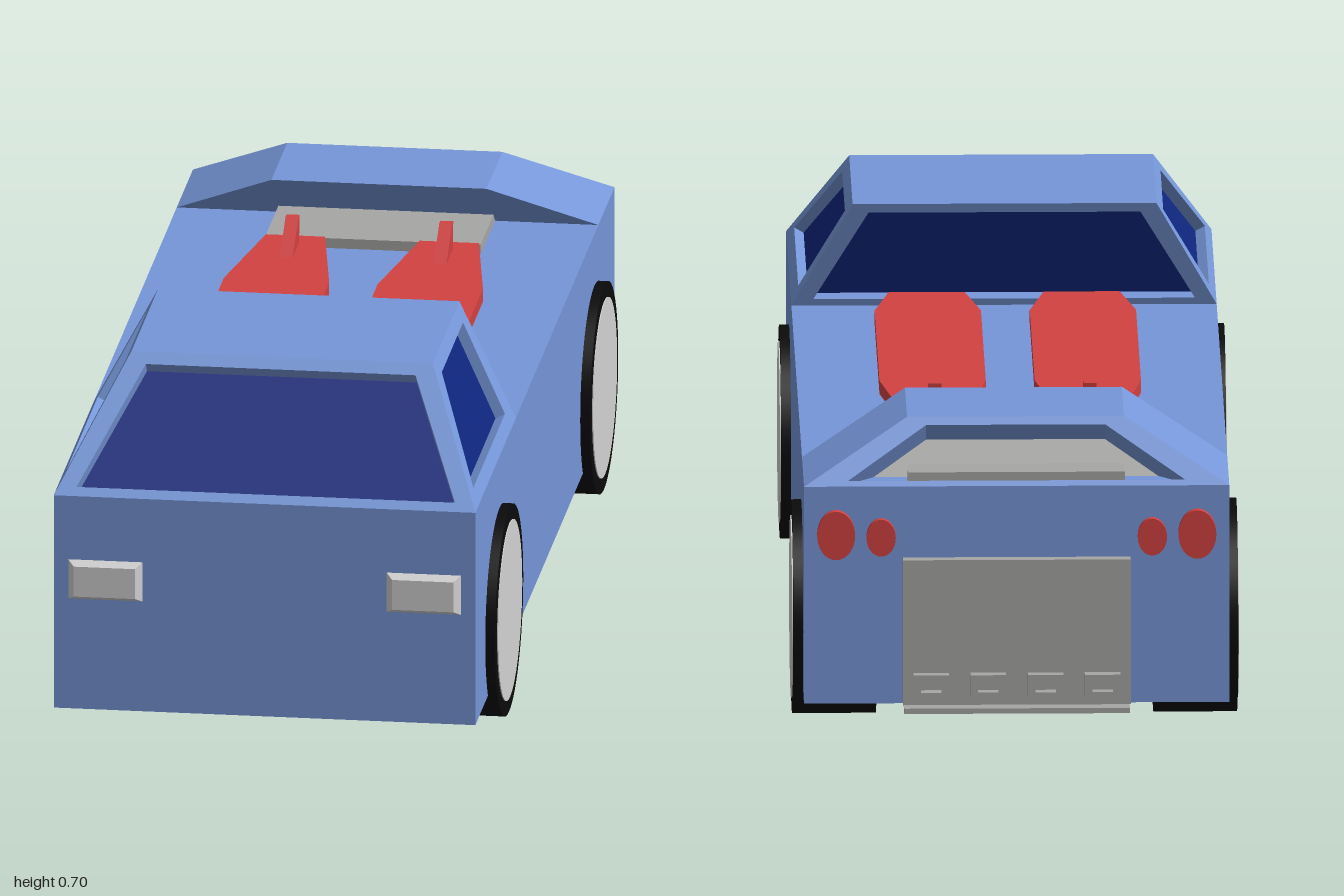
import * as THREE from 'three';

const flat = (name, color, side = THREE.FrontSide) => {
  const m = new THREE.MeshStandardMaterial({ color, side });
  m.name = name;
  return m;
};

// Flat faces from quads whose corners run counter-clockwise seen from outside
function quads(list) {
  const pos = [];
  for (const [a, b, c, d] of list) pos.push(...a, ...b, ...c, ...a, ...c, ...d);
  const g = new THREE.BufferGeometry();
  g.setAttribute('position', new THREE.Float32BufferAttribute(pos, 3));
  g.computeVertexNormals();
  return g;
}

const mirrorQuad = (q) => [1, 0, 3, 2].map((i) => [-q[i][0], q[i][1], q[i][2]]);
const mirrorUV = (uv) => [1, 0, 3, 2].map((i) => [1 - uv[i][0], uv[i][1]]);

// Panel with a sunken opening: outer = bl, br, tr, tl; uv = opening corners
function framed(outer, uv, depth) {
  const o = outer.map((p) => new THREE.Vector3(...p));
  const n = o[1].clone().sub(o[0]).cross(o[3].clone().sub(o[0])).normalize();
  const inner = uv.map(([u, v]) =>
    o[0].clone().lerp(o[1], u).lerp(o[3].clone().lerp(o[2], u), v));
  const deep = inner.map((p) => p.clone().addScaledVector(n, -depth).toArray());
  const inn = inner.map((p) => p.toArray());
  const frame = [];
  for (let i = 0; i < 4; i++) {
    const j = (i + 1) % 4;
    frame.push([outer[i], outer[j], inn[j], inn[i]], [inn[i], inn[j], deep[j], deep[i]]);
  }
  return { frame, pane: deep };
}

export function createModel() {
  const blue = flat('body blue', 0x7696d8);
  const glass = flat('window navy', 0x0e267c);
  const red = flat('red', 0xd24242);
  const grey = flat('trim grey', 0xa6a6a4);
  const silver = flat('light silver', 0xd2d2d2);
  const black = flat('tyre black', 0x0a0a0a);

  const model = new THREE.Group();
  const add = (name, geo, mat, x = 0, y = 0, z = 0) => {
    const m = new THREE.Mesh(geo, mat);
    m.name = name;
    m.position.set(x, y, z);
    model.add(m);
    return m;
  };
  const box = (name, mat, x0, x1, y0, y1, z0, z1) =>
    add(name, new THREE.BoxGeometry(x1 - x0, y1 - y0, z1 - z0), mat,
      (x0 + x1) / 2, (y0 + y1) / 2, (z0 + z1) / 2);

  // Main body
  box('body', blue, -0.392, 0.392, 0.083, 0.495, -0.95, 0.985);

  // Cabin with recessed windows
  const W = 0.392, T = 0.28, B = 0.495, H = 0.7;
  const front = [[-W, B, 0.985], [W, B, 0.985], [T, H, 0.74], [-T, H, 0.74]];
  const back = [[W, B, 0.42], [-W, B, 0.42], [-T, H, 0.37], [T, H, 0.37]];
  const side = [front[1], back[0], back[3], front[2]];
  const endUV = [[0.043, 0.063], [0.957, 0.063], [0.933, 0.915], [0.067, 0.915]];
  const sideUV = [[0.08, 0.12], [0.89, 0.12], [0.89, 0.88], [0.14, 0.88]];
  const cabin = [
    framed(front, endUV, 0.025), framed(back, endUV, 0.025),
    framed(side, sideUV, 0.02), framed(mirrorQuad(side), mirrorUV(sideUV), 0.02),
  ];
  const roof = [front[3], front[2], back[3], back[2]];
  add('cabin', quads([...cabin.flatMap((p) => p.frame), roof]), blue);
  add('windows', quads(cabin.map((p) => p.pane)), glass);

  // Rear wing with a sunken grey vent
  const wy = 0.596, wx = 0.2;
  const wingSide = [[W, B, -0.725], [W, B, -0.95], [wx, wy, -0.825], [wx, wy, -0.605]];
  const far = wingSide.map(([x, y, z]) => [-x, y, z]);
  const vent = framed([wingSide[1], far[1], far[2], wingSide[2]],
    [[0.087, 0.08], [0.913, 0.08], [0.87, 0.88], [0.13, 0.88]], 0.045);
  add('rearWing', quads([
    wingSide, mirrorQuad(wingSide), ...vent.frame,
    [far[3], wingSide[3], wingSide[2], far[2]],
    [far[0], wingSide[0], wingSide[3], far[3]],
  ]), blue);
  add('rearVent', quads([vent.pane]), grey);
  box('engineCover', grey, -0.2, 0.2, 0.49, 0.514, -0.92, -0.525);

  // Rear plate, lower lip and exhausts
  box('rearPlate', grey, -0.21, 0.21, 0.085, 0.36, -0.972, -0.94);
  box('rearLip', grey, -0.208, 0.208, 0.075, 0.085, -1, -0.7);
  const pipe = new THREE.Shape([[-0.033, -0.022], [0.033, -0.022], [0.033, 0.022], [-0.033, 0.022]]
    .map((p) => new THREE.Vector2(...p)));
  pipe.holes.push(new THREE.Path([[-0.019, -0.011], [-0.019, 0.011], [0.019, 0.011], [0.019, -0.011]]
    .map((p) => new THREE.Vector2(...p))));
  const pipeGeo = new THREE.ExtrudeGeometry(pipe, { depth: 0.022, bevelEnabled: false });
  for (const x of [-0.158, -0.053, 0.053, 0.158]) add('exhaust', pipeGeo, grey, x, 0.124, -0.992);

  // Deck pontoon outline and fin profile
  const half = [[0.055, -0.515], [0.098, -0.25], [0.098, 0.28], [0.07, 0.42]];
  const outline = [...half, ...half.map(([x, z]) => [-x, z]).reverse()];
  const pontoon = new THREE.ExtrudeGeometry(
    new THREE.Shape(outline.map((p) => new THREE.Vector2(...p))),
    { depth: 0.03, bevelEnabled: false }).rotateX(Math.PI / 2);
  const finShape = new THREE.Shape([[-0.375, 0.515], [-0.465, 0.572], [-0.48, 0.572], [-0.475, 0.515]]
    .map((p) => new THREE.Vector2(...p)));
  const fin = new THREE.ExtrudeGeometry(finShape, { depth: 0.024, bevelEnabled: false })
    .translate(0, 0, -0.012).rotateY(-Math.PI / 2);

  // Bevelled headlight
  const rect = (x, y, z) => [[-x, -y, z], [x, -y, z], [x, y, z], [-x, y, z]];
  const lo = rect(0.069, 0.038, 0), hi = rect(0.057, 0.029, 0.015);
  const lamp = quads([hi, ...lo.map((p, i) => [p, lo[(i + 1) % 4], hi[(i + 1) % 4], hi[i]])]);

  const tyre = new THREE.CylinderGeometry(0.197, 0.197, 0.154, 48).rotateZ(Math.PI / 2);
  const hub = new THREE.CylinderGeometry(0.168, 0.168, 0.006, 48).rotateZ(Math.PI / 2);
  const tail = new THREE.CylinderGeometry(1, 1, 0.016, 32).rotateX(Math.PI / 2);

  // Paired parts
  for (const s of [-1, 1]) {
    add('pontoon', pontoon, red, s * 0.143, 0.52, 0);
    add('fin', fin, red, s * 0.143, 0, 0);
    add('headlight', lamp, silver, s * 0.296, 0.334, 0.985);
    add('tailLightOuter', tail, red, s * 0.333, 0.405, -0.957).scale.set(0.035, 0.046, 1);
    add('tailLightInner', tail, red, s * 0.25, 0.4, -0.955).scale.set(0.027, 0.035, 1);
    for (const z of [0.65, -0.67]) {
      add('tyre', tyre, black, s * 0.333, 0.198, z);
      add('hub', hub, silver, s * 0.409, 0.198, z);
    }
  }
  return model;
}
